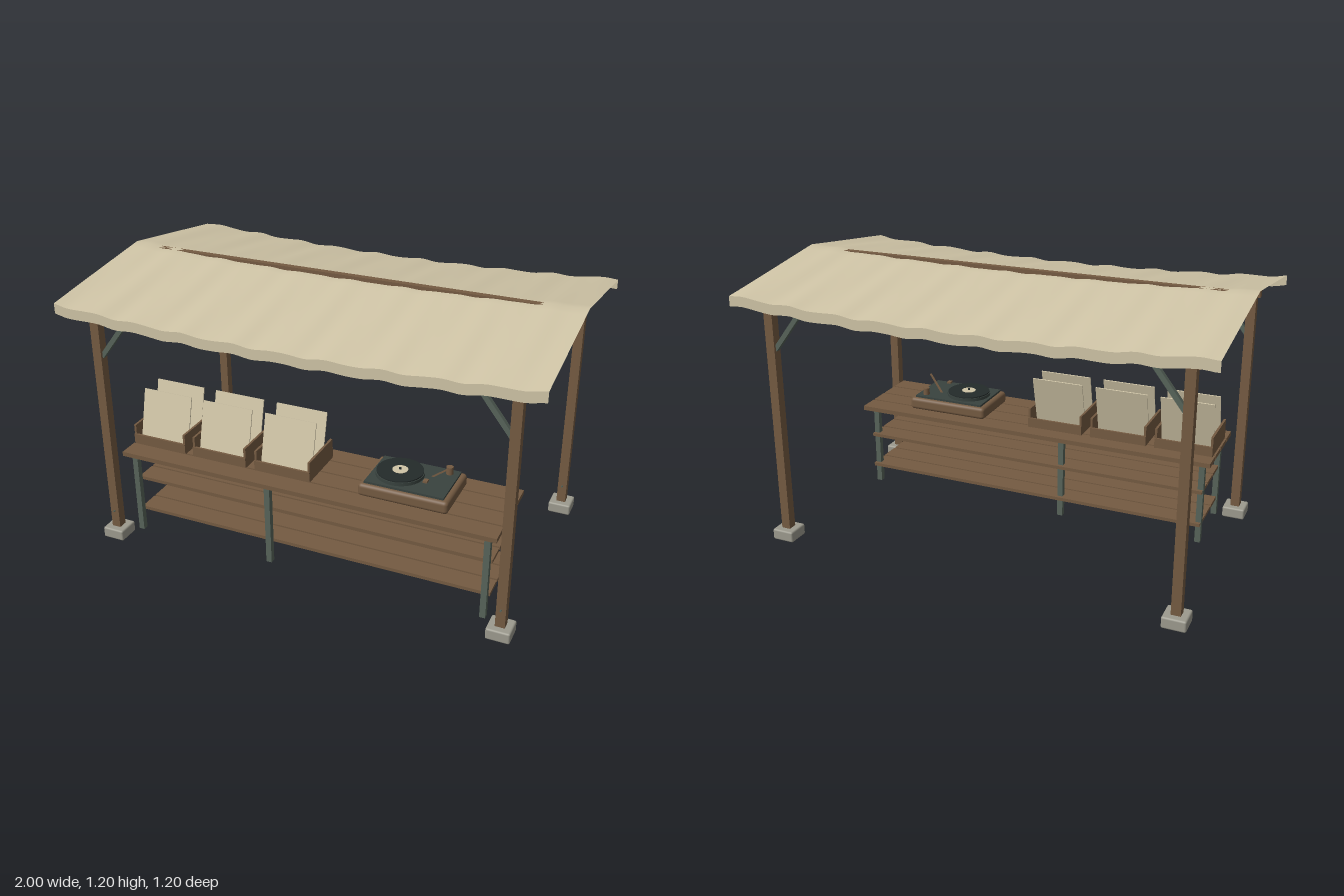
import * as THREE from 'three';
import { RoundedBoxGeometry } from 'three/addons/geometries/RoundedBoxGeometry.js';

const mat = (name, color, side = THREE.FrontSide) => {
  const m = new THREE.MeshStandardMaterial({ color, side });
  m.name = name;
  return m;
};

export function createModel() {
  const wood = mat('brown wood', 0x755b42);
  const metal = mat('green grey metal', 0x57645a, THREE.DoubleSide);
  const stone = mat('pale stone', 0x9c9a8e);
  const canvas = mat('cream canvas', 0xcfc4a6, THREE.DoubleSide);
  const paper = mat('cream card', 0xcfc4a6);
  const dark = mat('dark deck', 0x39433f);
  const black = mat('black vinyl', 0x242b2a);

  const model = new THREE.Group();
  model.name = 'marketStall';
  const group = (name, parent = model) => {
    const g = new THREE.Group();
    g.name = name;
    parent.add(g);
    return g;
  };
  const add = (parent, name, geo, material, x = 0, y = 0, z = 0) => {
    const m = new THREE.Mesh(geo, material);
    m.name = name;
    m.position.set(x, y, z);
    parent.add(m);
    return m;
  };
  const box = (parent, name, material, w, h, d, x, y, z) =>
    add(parent, name, new THREE.BoxGeometry(w, h, d), material, x, y, z);
  // Box-section bar between two points, turned to run along its z axis
  const bar = (parent, name, material, a, b, w, h) => {
    const p = new THREE.Vector3(...a), q = new THREE.Vector3(...b);
    const m = box(parent, name, material, w, h, p.distanceTo(q), 0, 0, 0);
    m.position.copy(p).add(q).multiplyScalar(0.5);
    m.lookAt(q);
    return m;
  };

  // Timber frame
  const frame = group('frame');
  for (const x of [-0.88, 0.88]) {
    for (const z of [-0.5, 0.5]) {
      add(frame, 'footing', new RoundedBoxGeometry(0.1, 0.05, 0.1, 2, 0.008), stone, x, 0.027, z);
      box(frame, 'post', wood, 0.04, 1.02, 0.04, x, 0.56, z);
      const bolt = add(frame, 'bolt', new THREE.CylinderGeometry(0.004, 0.004, 0.008, 8), metal, x, 0.133, z + 0.023);
      bolt.rotation.x = Math.PI / 2;
      const s = Math.sign(x);
      bar(frame, 'brace', metal, [s * 0.865, 0.875, z], [s * 0.73, 1.05, z], 0.02, 0.02);
    }
    box(frame, 'tieBeam', wood, 0.03, 0.027, 1.1, x, 1.065, 0);
    for (const s of [-1, 1])
      bar(frame, 'rafter', wood, [x, 1.065, s * 0.5], [x, 1.173, 0], 0.025, 0.025);
  }
  for (const z of [-0.5, 0.5])
    box(frame, 'eaveBeam', wood, 1.83, 0.034, 0.034, 0, 1.057, z);
  box(frame, 'ridgeBeam', wood, 1.83, 0.027, 0.027, 0, 1.177, 0);

  // Sagging, rippled canvas with a hanging strip at each eave
  const roof = group('roof');
  const roofY = (x, z) => {
    const t = Math.abs(z) / 0.6;
    const sag = (0.022 + 0.013 * t) * (1 - x * x);
    const ripple = 0.0025 * (0.6 + t) * Math.sin(31 * x + 3 * z) + 0.001 * Math.sin(53 * x - 2 * z);
    return 1.199 - 0.083 * t - sag + ripple;
  };
  const sheet = new THREE.PlaneGeometry(2, 1.2, 96, 24).rotateX(-Math.PI / 2);
  const p = sheet.attributes.position;
  for (let i = 0; i < p.count; i++) p.setY(i, roofY(p.getX(i), p.getZ(i)));
  sheet.computeVertexNormals();
  add(roof, 'canvasSheet', sheet, canvas);
  for (const s of [-1, 1]) {
    const strip = new THREE.PlaneGeometry(2, 0.043, 96, 1);
    if (s < 0) strip.rotateY(Math.PI);
    const q = strip.attributes.position;
    for (let i = 0; i < q.count; i++) {
      const x = q.getX(i);
      q.setXYZ(i, x, roofY(x, s * 0.6) + q.getY(i) - 0.0215, s * 0.6);
    }
    strip.computeVertexNormals();
    add(roof, 'valance', strip, canvas);
  }

  // Hanging lamp
  const lamp = group('lamp');
  lamp.position.set(0.24, 0, 0.02);
  add(lamp, 'cord', new THREE.CylinderGeometry(0.002, 0.002, 0.16, 6), black, 0, 1.093, 0);
  add(lamp, 'shade', new THREE.CylinderGeometry(0.02, 0.05, 0.043, 20, 1, true), metal, 0, 0.993, 0);
  add(lamp, 'shadeCap', new THREE.CylinderGeometry(0.02, 0.02, 0.003, 20), metal, 0, 1.015, 0);

  // Plank table with two shelves
  const table = group('table');
  for (let i = 0; i < 4; i++)
    box(table, 'topPlank', wood, 1.67, 0.02, 0.09, -0.003, 0.407, 0.135 + i * 0.0985);
  for (const y of [0.109, 0.264])
    for (let i = 0; i < 3; i++)
      box(table, 'shelfPlank', wood, 1.61, 0.015, 0.092, 0, y, 0.163 + i * 0.101);
  for (const x of [-0.795, -0.155, 0.79])
    for (const z of [0.145, 0.438])
      box(table, 'leg', metal, 0.025, 0.378, 0.025, x, 0.209, z);

  // Record crates, each with two leaning sleeves
  for (const x of [-0.703, -0.41, -0.114]) {
    const crate = group('crate');
    crate.position.set(x, 0.417, 0.272);
    box(crate, 'base', wood, 0.24, 0.01, 0.22, 0, 0.006, 0);
    for (const s of [-1, 1]) {
      box(crate, 'endBoard', wood, 0.01, 0.09, 0.226, s * 0.122, 0.046, 0);
      box(crate, 'sideSlat', wood, 0.254, 0.042, 0.01, 0, 0.026, s * 0.112);
    }
    for (const z of [0.027, -0.079]) {
      const sleeve = box(crate, 'sleeve', paper, 0.234, 0.222, 0.005, 0, 0.12, z + 0.02);
      sleeve.rotation.x = -0.245;
    }
  }

  // Record player
  const player = group('recordPlayer');
  player.position.set(0.42, 0.417, 0.274);
  add(player, 'plinth', new RoundedBoxGeometry(0.38, 0.056, 0.258, 3, 0.016), wood, 0, 0.03, 0);
  box(player, 'deck', dark, 0.335, 0.01, 0.225, 0, 0.062, 0);
  const disc = (name, m, r, h, y) =>
    add(player, name, new THREE.CylinderGeometry(r, r, h, 40), m, -0.055, y, 0);
  disc('platter', dark, 0.1, 0.016, 0.073);
  disc('record', black, 0.096, 0.006, 0.083);
  disc('label', paper, 0.032, 0.003, 0.0865);
  disc('spindle', black, 0.005, 0.01, 0.09);
  add(player, 'armPivot', new THREE.CylinderGeometry(0.015, 0.015, 0.034, 16), wood, 0.128, 0.082, -0.08);
  bar(player, 'toneArm', wood, [0.128, 0.095, -0.08], [0.075, 0.092, 0.045], 0.007, 0.007);
  box(player, 'armHead', wood, 0.018, 0.008, 0.024, 0.072, 0.091, 0.052);

  return model;
}
